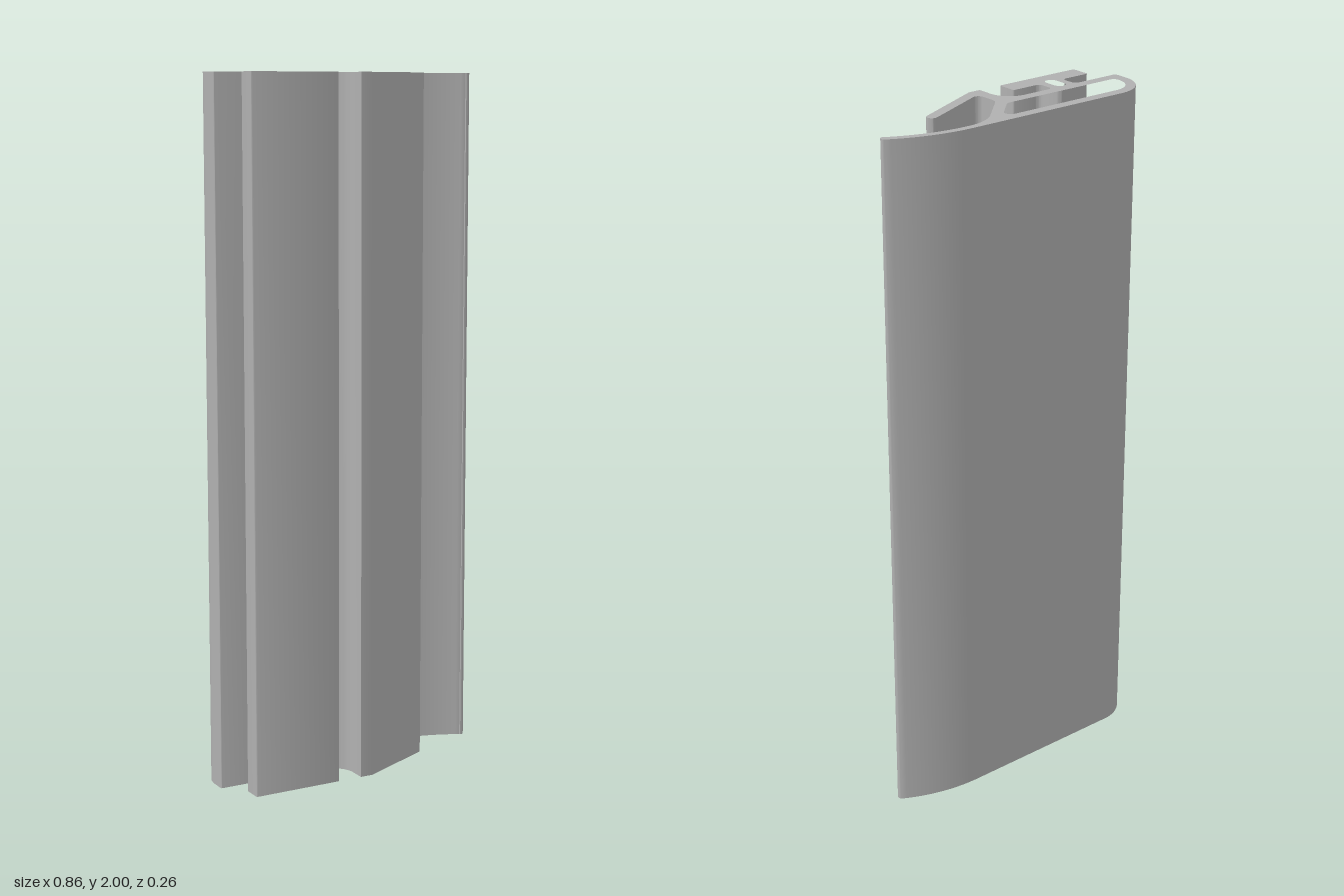
import * as THREE from 'three';
import { toCreasedNormals } from 'three/addons/utils/BufferGeometryUtils.js';

// Points [x, y, r]: each corner with a radius r becomes a tangent arc
function rounded(corners) {
  const out = [];
  corners.forEach(([x, y, r], i) => {
    const p = new THREE.Vector2(x, y);
    if (!r) { out.push(p); return; }
    const n = corners.length;
    const a = new THREE.Vector2(...corners[(i + n - 1) % n].slice(0, 2)).sub(p).normalize();
    const b = new THREE.Vector2(...corners[(i + 1) % n].slice(0, 2)).sub(p).normalize();
    const half = Math.acos(THREE.MathUtils.clamp(a.dot(b), -1, 1)) / 2;
    const t = r / Math.tan(half);
    const c = a.clone().add(b).normalize().multiplyScalar(r / Math.sin(half)).add(p);
    const start = p.clone().addScaledVector(a, t).sub(c).angle();
    let sweep = p.clone().addScaledVector(b, t).sub(c).angle() - start;
    if (sweep > Math.PI) sweep -= 2 * Math.PI;
    if (sweep < -Math.PI) sweep += 2 * Math.PI;
    const steps = r > 0.05 ? 16 : 8;
    for (let k = 0; k <= steps; k++) {
      const q = start + sweep * k / steps;
      out.push(new THREE.Vector2(c.x + r * Math.cos(q), c.y + r * Math.sin(q)));
    }
  });
  return out;
}

// Arc points round a centre, angles in degrees
function arc(cx, cy, r, from, to, steps) {
  return Array.from({ length: steps + 1 }, (_, k) => {
    const q = THREE.MathUtils.degToRad(from + (to - from) * k / steps);
    return [cx + r * Math.cos(q), cy + r * Math.sin(q)];
  });
}

export function createModel() {
  const group = new THREE.Group();
  const grey = new THREE.MeshStandardMaterial({ color: 0xb0b0b0 });
  grey.name = 'plain grey';

  // Outer outline, y pointing to the back
  const outline = rounded([
    [-0.432, -0.02, 0.004], [-0.432, 0.133, 0.113],
    // curved lip with a round tip
    ...arc(0.19, -0.353, 0.486, 90, 61.2, 18),
    ...arc(0.4186, 0.0626, 0.0115, 45, -105, 8),
    ...arc(0.19, -0.353, 0.465, 61.2, 90, 18),
    // diagonal web
    [0.127, 0.112, 0.139], [-0.006, -0.021, 0.03], [-0.006, -0.099, 0.016],
    // slanted arm
    [0.22, 0.007, 0.0145], [0.233, -0.02, 0.0145], [-0.003, -0.132],
    // hook and hollow
    [-0.04, -0.132], [-0.04, -0.02, 0.065],
    // foot on a narrow neck
    [-0.202, -0.02, 0.013], [-0.202, -0.073, 0.014],
    [-0.11, -0.073, 0.005], [-0.11, -0.132, 0.005],
    [-0.376, -0.132, 0.005], [-0.376, -0.073, 0.005],
    [-0.284, -0.073, 0.014], [-0.284, -0.02, 0.013],
  ]);
  const shape = new THREE.Shape(outline);

  // Large chamber and small slot in the neck
  const chamber = rounded([
    [-0.4, 0.012, 0.015], [-0.4, 0.102, 0.074],
    [0.072, 0.102, 0.018], [-0.018, 0.012, 0.025],
  ]);
  const slot = rounded([
    [-0.262, -0.022, 0.017], [-0.227, -0.022, 0.017],
    [-0.227, -0.091, 0.017], [-0.262, -0.091, 0.017],
  ]);
  shape.holes.push(new THREE.Path(chamber), new THREE.Path(slot));

  // Stand the profile upright
  const geometry = new THREE.ExtrudeGeometry(shape, { depth: 2, bevelEnabled: false });
  geometry.rotateX(-Math.PI / 2);
  const mesh = new THREE.Mesh(toCreasedNormals(geometry, 0.5), grey);
  mesh.name = 'extrudedProfile';
  group.add(mesh);
  return group;
}
